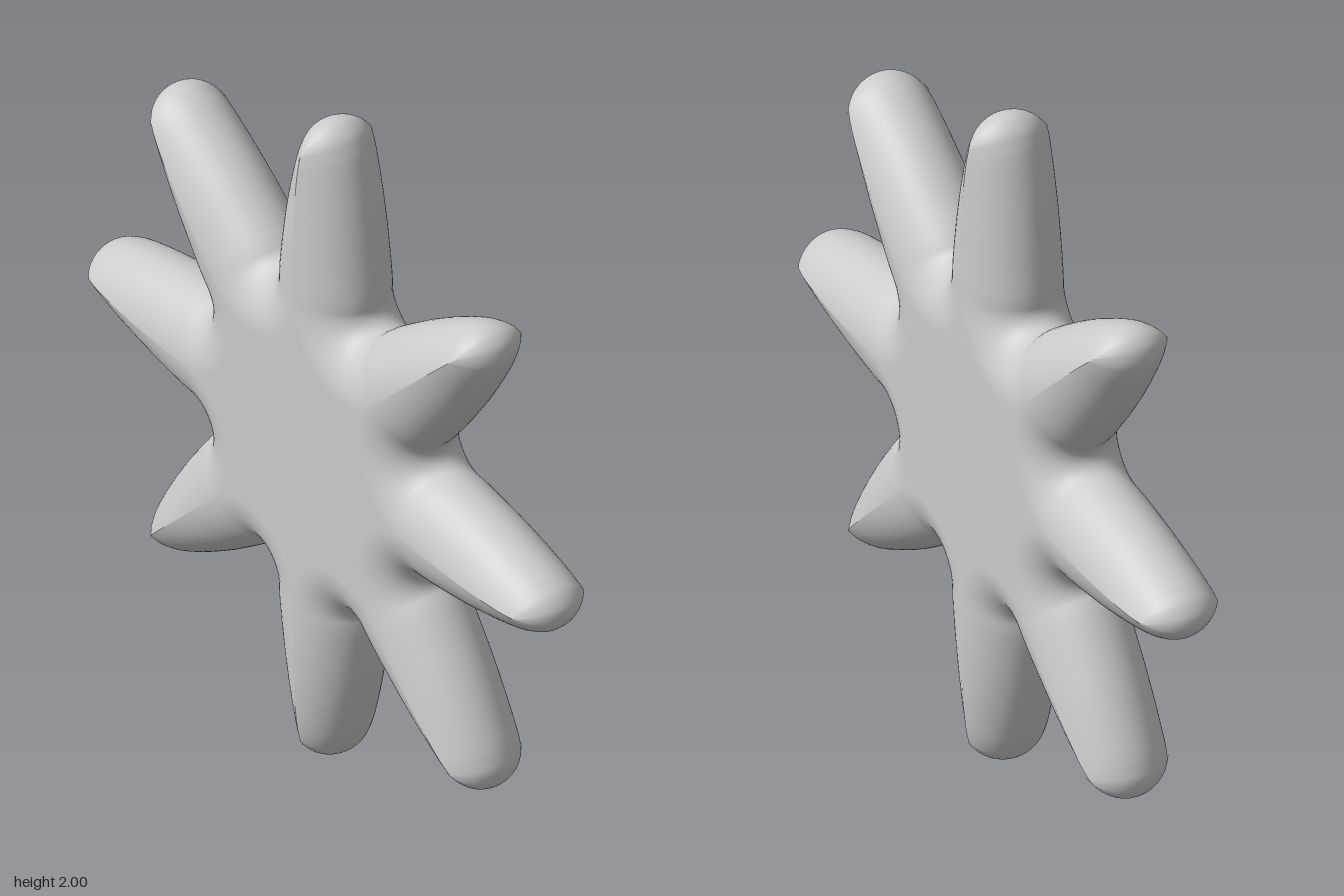
import * as THREE from 'three';

const ROUND = 0.17;      // width of the rounded border
const HALF_DEPTH = 0.14; // half thickness of the body
const ARMS = 8;
const STEPS = 14;        // rows from the rim to the ridge or plateau

// Half outline of one arm (r along the arm, w across it), from the tip to the valley
function armOutline() {
  const side = [[0.995, 0.025], [0.976, 0.051], [0.95, 0.068], [0.9, 0.088], [0.8, 0.115],
    [0.7, 0.136], [0.6, 0.152], [0.53, 0.161], [0.49, 0.163]];
  const points = [
    ...side.slice().reverse().map(([r, w]) => new THREE.Vector2(r, -w)),
    new THREE.Vector2(1, 0),
    ...side.map(([r, w]) => new THREE.Vector2(r, w)),
  ];
  const curve = new THREE.SplineCurve(points);
  const outline = [];
  const n = 44;
  for (let i = 0; i < n; i++) {
    const u = 0.5 + 0.5 * i / n;
    const tangent = curve.getTangent(u);
    outline.push({ p: curve.getPoint(u), out: new THREE.Vector2(tangent.y, -tangent.x) });
  }
  outline[0].out.set(1, 0);
  // rounded valley between two arms
  const fillet = 0.04, centre = new THREE.Vector2(0.49, 0.203);
  for (let i = 0; i <= 12; i++) {
    const a = -Math.PI / 2 - (i / 12) * THREE.MathUtils.degToRad(67.5);
    const dir = new THREE.Vector2(Math.cos(a), Math.sin(a));
    outline.push({ p: centre.clone().addScaledVector(dir, fillet), out: dir.negate() });
  }
  // inward reach: up to the ridge on the arm's axis, or the full rounding
  for (const o of outline) {
    o.reach = o.out.y > 1e-4 ? Math.min(ROUND, o.p.y / o.out.y) : ROUND;
  }
  outline[0].reach = outline[1].reach;
  return outline;
}

function starGeometry() {
  const outline = armOutline();
  const positions = [], normals = [], indices = [];

  // One quarter of an arm: mirror flips it across the axis, face picks front or back
  function addQuarter(angle, mirror, face) {
    const base = positions.length / 3;
    const c = Math.cos(angle), s = Math.sin(angle);
    const add = (r, w, z, nr, nw, nz) => {
      w *= mirror;
      nw *= mirror;
      const normal = new THREE.Vector3(nr * c - nw * s, nr * s + nw * c, nz * face).normalize();
      positions.push(r * c - w * s, r * s + w * c, z * face);
      normals.push(normal.x, normal.y, normal.z);
    };
    const tri = (a, b, d) => {
      if (mirror * face > 0) indices.push(base + a, base + b, base + d);
      else indices.push(base + a, base + d, base + b);
    };

    for (const { p, out, reach } of outline) {
      const maxTheta = Math.acos(1 - reach / ROUND);
      for (let j = 0; j <= STEPS; j++) {
        const theta = maxTheta * j / STEPS;
        const d = ROUND * (1 - Math.cos(theta));
        const k = Math.cos(theta) / ROUND;
        add(p.x - out.x * d, p.y - out.y * d, HALF_DEPTH * Math.sin(theta),
          out.x * k, out.y * k, Math.sin(theta) / HALF_DEPTH);
      }
    }
    const hub = outline.length * (STEPS + 1);
    add(0, 0, HALF_DEPTH, 0, 0, 1);

    const row = STEPS + 1;
    for (let i = 0; i < outline.length - 1; i++) {
      for (let j = 0; j < STEPS; j++) {
        const a = i * row + j, b = a + row;
        tri(a, b, a + 1);
        tri(b, b + 1, a + 1);
      }
      // flat middle; the ridge part has no width and needs no fan
      const inner = outline[i + 1];
      if (inner.p.y - inner.out.y * inner.reach > 1e-5) {
        tri(i * row + STEPS, (i + 1) * row + STEPS, hub);
      }
    }
  }

  for (let k = 0; k < ARMS; k++) {
    for (const mirror of [1, -1]) {
      for (const face of [1, -1]) addQuarter(k * 2 * Math.PI / ARMS, mirror, face);
    }
  }

  const geometry = new THREE.BufferGeometry();
  geometry.setAttribute('position', new THREE.Float32BufferAttribute(positions, 3));
  geometry.setAttribute('normal', new THREE.Float32BufferAttribute(normals, 3));
  geometry.setIndex(indices);
  return geometry;
}

export function createModel() {
  const grey = new THREE.MeshStandardMaterial({ color: 0xcccccc });
  grey.name = 'light grey';

  const star = new THREE.Mesh(starGeometry(), grey);
  star.name = 'eightArmedStar';
  star.position.y = 1;
  star.rotation.y = THREE.MathUtils.degToRad(-8); // left side turned forward

  const model = new THREE.Group();
  model.name = 'puffyStar';
  model.add(star);
  return model;
}
